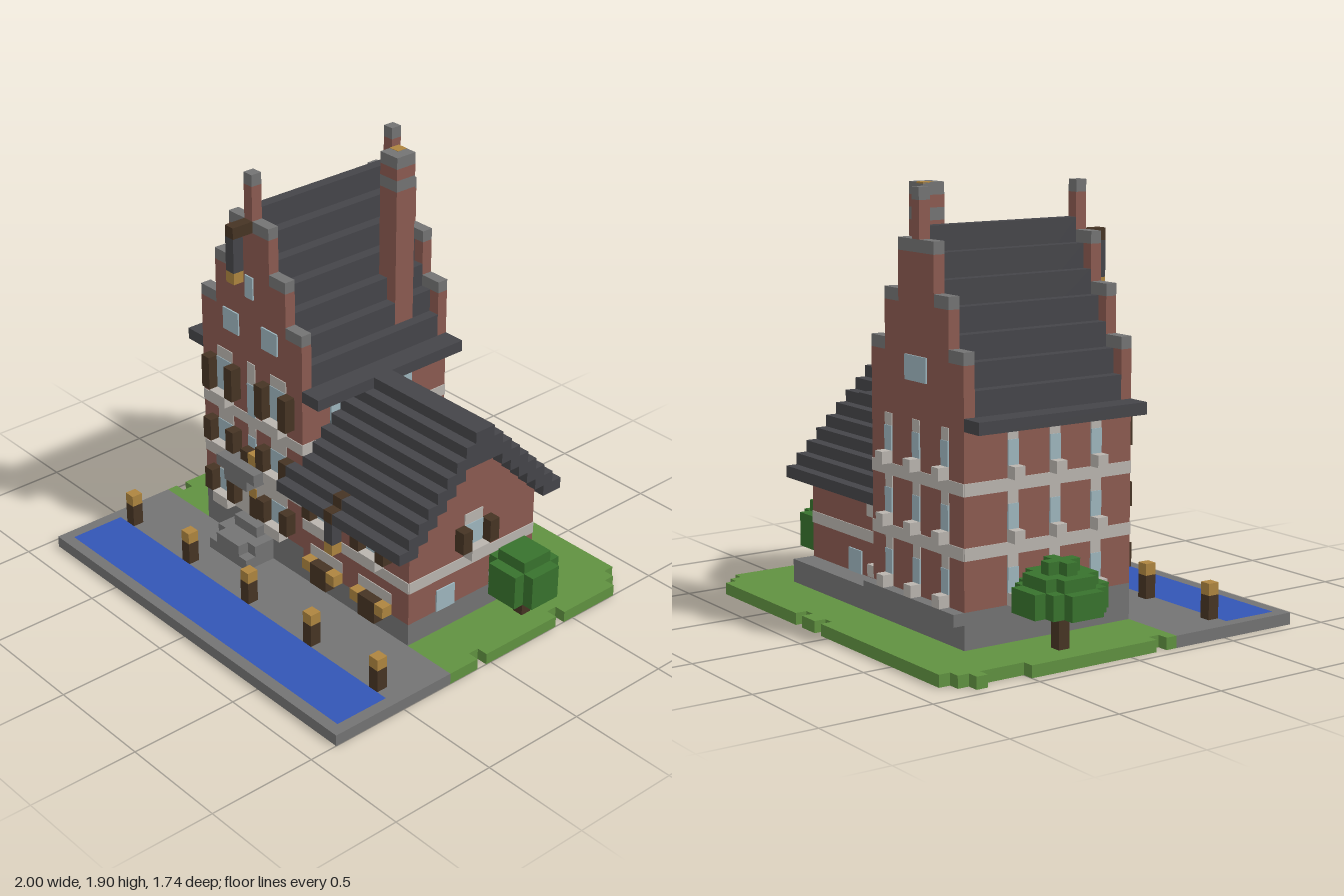
import * as THREE from 'three';

const U = 2 / 38; // one block

const mat = (name, color) => {
  const m = new THREE.MeshStandardMaterial({ color });
  m.name = name;
  return m;
};

export function createModel() {
  const root = new THREE.Group();
  root.name = 'steppedGableHouse';
  const brick = mat('brick', 0x8b5a50), stone = mat('paleStone', 0xb9b4ae), grey = mat('greyStone', 0x737373),
    slate = mat('slate', 0x454549), wood = mat('darkWood', 0x463424), gold = mat('ochre', 0xad843f),
    glass = mat('glass', 0x9db5bd), water = mat('water', 0x3355b5), grass = mat('grass', 0x609140),
    leaf = mat('leaves', 0x38722d);

  // Box between block coordinates
  const box = (name, m, x0, x1, y0, y1, z0, z1) => {
    const mesh = new THREE.Mesh(new THREE.BoxGeometry((x1 - x0) * U, (y1 - y0) * U, (z1 - z0) * U), m);
    mesh.position.set((x0 + x1) / 2 * U - 1, (y0 + y1) / 2 * U, ((z0 + z1) / 2 - 16.5) * U);
    mesh.name = name;
    root.add(mesh);
  };
  // Box standing out by d from a wall; a0..a1 runs along the wall
  const onWall = (w, name, m, a0, a1, y0, y1, d) => {
    const p = Math.min(w.at, w.at + w.dir * d), q = Math.max(w.at, w.at + w.dir * d);
    if (w.axis === 'z') box(name, m, a0, a1, y0, y1, p, q);
    else box(name, m, p, q, y0, y1, a0, a1);
  };
  const front = { axis: 'z', at: 21, dir: 1 }, back = { axis: 'z', at: 5, dir: -1 };
  const left = { axis: 'x', at: 20, dir: 1 }, right = { axis: 'x', at: 7, dir: -1 };
  const annexEnd = { axis: 'x', at: 33, dir: 1 }, annexBack = { axis: 'z', at: 7, dir: -1 };
  const THIN = 0.08, PANE = 0.14;

  // Ground: paved quay, canal, ragged lawn
  [[1, 38, 21, 27], [1, 2, 27, 32], [37, 38, 27, 32], [1, 38, 32, 33]]
    .forEach(([a, b, c, d]) => box('quay', grey, a, b, 0, 1, c, d));
  box('canal', water, 2, 37, 0, 1, 27, 32);
  [[3, 20, 0, 1], [21, 23, 0, 1], [24, 36, 0, 1], [2, 37, 1, 5], [2, 7, 5, 21], [33, 37, 5, 21], [1, 2, 2, 3],
    [1, 2, 7, 19], [1, 2, 20, 21], [37, 38, 2, 8], [37, 38, 9, 17], [37, 38, 18, 21]]
    .forEach(([a, b, c, d]) => box('lawn', grass, a, b, 0, 1, c, d));

  // Mooring posts
  for (let x = 3; x <= 35; x += 8) {
    box('mooringPost', wood, x, x + 1, 1, 3, 26, 27);
    box('mooringPostCap', gold, x, x + 1, 3, 4, 26, 27);
  }

  // Foundations
  box('foundation', grey, 7, 33, 0, 3, 5, 21);
  box('towerPlinth', grey, 7, 20, 3, 4, 4, 21);

  // Tower body
  box('towerWalls', brick, 7, 20, 4, 18, 5, 21);

  // Stepped gables, front and back
  for (const z of [5, 20]) {
    [[7, 20, 18, 23], [9, 18, 23, 27], [11, 16, 27, 31], [13, 14, 32, 35]]
      .forEach(([a, b, c, d]) => box('gable', brick, a, b, c, d, z, z + 1));
    [[7, 9, 23], [18, 20, 23], [9, 11, 27], [16, 18, 27], [11, 16, 31], [13, 14, 35]]
      .forEach(([a, b, y]) => box('gableCoping', grey, a, b, y, y + 1, z, z + 1));
  }

  // Main roof: steep steps up to the ridge, with wide eaves
  box('mainEaves', slate, 5, 7, 18, 19, 5, 21);
  box('mainEaves', slate, 20, 22, 18, 19, 5, 21);
  for (let s = 0; s < 7; s++) box('mainRoof', slate, 7 + s, 20 - s, 18, 21 + 2 * s, 6, 20);

  // Chimney
  box('chimney', brick, 17, 19.02, 21, 33, 8, 10);
  box('chimneyBand', grey, 17, 19.02, 33, 34, 8, 10);
  box('chimney', brick, 17, 19.02, 34, 35, 8, 10);
  box('chimneyCap', grey, 17, 19.02, 35, 36, 8, 10);
  box('chimneyFlue', gold, 17, 18, 35.9, 36.03, 8, 9);

  // Stone bands round the tower
  for (const y of [8, 13]) {
    for (const w of [front, back]) onWall(w, 'band', stone, 7, 20, y, y + 1, THIN);
    for (const w of [left, right]) onWall(w, 'band', stone, 5, 21, y, y + 1, THIN);
  }

  // Narrow windows on sides and back
  const slit = (w, a, y) => {
    onWall(w, 'sill', stone, a, a + 1, y - 1, y, 1);
    onWall(w, 'pane', glass, a, a + 1, y, y + 2, PANE);
    onWall(w, 'lintel', stone, a, a + 1, y + 2, y + 3, THIN);
  };
  for (const y of [5, 10, 15]) {
    for (const a of [9, 13, 17]) {
      slit(back, a, y);
      slit(right, a, y);
      if (y === 15 && a !== 13) slit(left, a, y);
    }
  }
  onWall(left, 'sill', stone, 5, 6, 9, 10, 1);
  onWall(left, 'sill', stone, 5, 6, 4, 5, 1);
  onWall(back, 'atticPane', glass, 12, 15, 21, 23, PANE);

  // Shuttered windows on the front
  const shuttered = (w, a, y, h) => {
    onWall(w, 'pane', glass, a, a + 2, y, y + h, PANE);
    onWall(w, 'lintel', stone, a, a + 2, y + h, y + h + 1, THIN);
    onWall(w, 'sill', stone, a, a + 2, y - 1, y, 1);
    for (const s of [a - 1, a + 2]) onWall(w, 'shutter', wood, s, s + 1, y, y + h, 1);
  };
  for (const a of [9, 16]) {
    shuttered(front, a, 5, 2);
    shuttered(front, a, 10, 2);
    shuttered(front, a, 15, 3);
  }
  onWall(front, 'middlePane', glass, 13, 14, 14, 17, PANE);
  onWall(front, 'middleLintel', stone, 13, 14, 17, 19, THIN);
  onWall(front, 'middlePane', glass, 13, 14, 11, 12, PANE);
  onWall(front, 'middleLintel', stone, 13, 14, 12, 13, THIN);
  for (const a of [10, 15]) onWall(front, 'atticPane', glass, a, a + 2, 21, 23, PANE);
  onWall(front, 'atticPane', glass, 13, 14, 25, 27, PANE);

  // Doorway, balcony and steps
  onWall(front, 'doorSurround', stone, 11, 16, 4, 8, THIN);
  onWall(front, 'door', wood, 13, 14, 4, 6, PANE);
  onWall(front, 'doorLight', gold, 13, 14, 6, 7, PANE);
  box('balcony', grey, 11, 16, 9, 10, 21, 23);
  box('balconyBase', grey, 12, 15, 8, 9, 21, 23);
  box('balconyBench', wood, 13, 14, 10, 11, 21, 22);
  box('balconyLamp', gold, 14, 15, 10, 11, 21, 22);
  box('landing', grey, 11, 16, 1, 3, 21, 23);
  box('steps', grey, 12, 15, 1, 3, 23, 24);
  box('steps', grey, 11, 16, 1, 2, 23, 24);
  box('topStep', grey, 12, 15, 3, 4, 21, 22);

  // Hoist beams with rope and load
  box('hoistBeam', wood, 13, 14, 31, 32, 21, 23);
  box('hoistRope', slate, 13, 14, 28, 31, 22, 23);
  box('hoistLoad', gold, 13, 14, 27, 28, 22, 23);
  box('annexHoistBeam', wood, 25, 26, 10, 11.04, 21, 23.04);
  box('annexHoistBeam', wood, 25, 26, 11, 12.04, 21, 22.04);
  box('annexHoistRope', slate, 25, 26, 8, 10, 22, 23);
  box('annexHoistLoad', gold, 25, 26, 7, 8, 22, 23);

  // Annex walls and stepped pitched roof
  box('annexWalls', brick, 20, 33, 3, 11, 7, 21);
  for (let s = 0; s < 9; s++) {
    const top = 11 + s, low = s < 1 ? top - 1 : top - 2;
    if (s > 1) box('annexGable', brick, 20, 33, 11, Math.max(low, 11.1), 5 + s, 23 - s);
    for (const z of [5 + s, 22 - s]) box('annexRoof', slate, z > 20 ? 19 : 20, 34, low, top, z, z + 1);
  }
  box('annexRidge', slate, 20, 34, 16, 19, 13, 15);

  // Annex bands and windows
  onWall(front, 'annexBand', stone, 20, 33, 6, 7, THIN);
  onWall(annexBack, 'annexBand', stone, 20, 33, 6, 7, THIN);
  onWall(annexEnd, 'annexBand', stone, 7, 21, 6, 7, THIN);
  for (const a of [22, 28]) {
    shuttered(front, a, 8, 2);
    onWall(front, 'cellarLintel', stone, a - 1, a + 3, 4, 5, THIN);
    onWall(front, 'cellarHatch', wood, a, a + 2, 2, 4, 1);
    for (const s of [a - 1, a + 2]) onWall(front, 'planter', gold, s, s + 1, 3, 4, 1);
  }
  shuttered(annexEnd, 13, 8, 2);
  for (const a of [10, 16]) onWall(annexEnd, 'lowPane', glass, a, a + 2, 3, 5, PANE);
  onWall(annexBack, 'lowPane', glass, 25, 27, 3, 5, PANE);

  // Trees: each layer is a square with its corners cut off
  const tree = (cx, cz, base, layers) => {
    box('treeTrunk', wood, cx - 0.5, cx + 0.5, 1, base + 1, cz - 0.5, cz + 0.5);
    let y = base;
    for (const [r, h, cut] of layers) {
      box('treeCrown', leaf, cx - r, cx + r, y, y + h, cz - r + cut, cz + r - cut);
      box('treeCrown', leaf, cx - r + cut, cx + r - cut, y, y + h, cz - r, cz + r);
      if (cut > 1) box('treeCrown', leaf, cx - r + 1, cx + r - 1, y, y + h, cz - r + 1, cz + r - 1);
      y += h;
    }
  };
  tree(3.5, 11.5, 4, [[3.5, 2, 2], [2.5, 1, 1], [1.5, 1, 1]]);
  tree(35.5, 10.5, 3, [[2.5, 3, 1], [1.5, 1, 0]]);

  return root;
}
